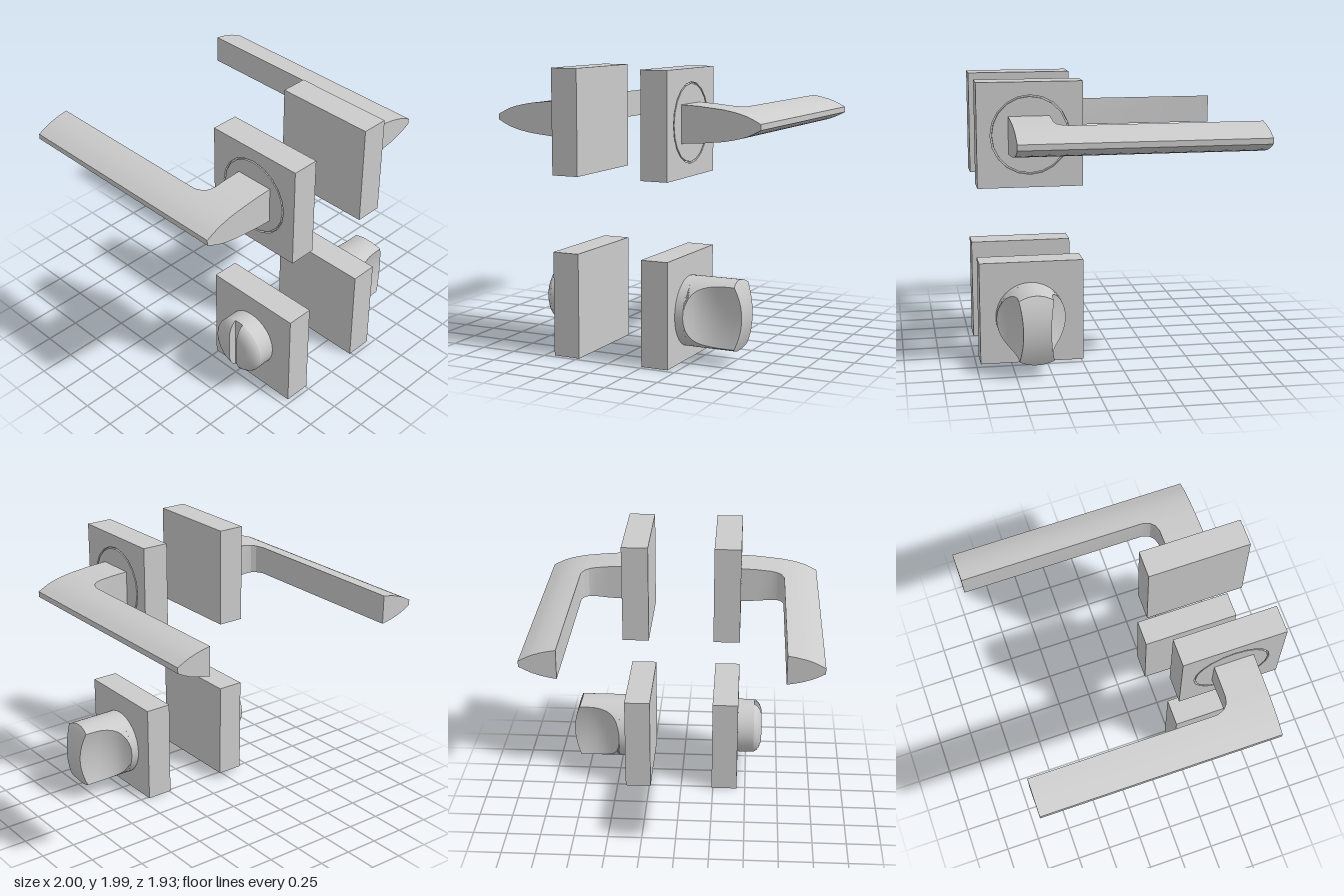
import * as THREE from 'three';
import { toCreasedNormals } from 'three/addons/utils/BufferGeometryUtils.js';

const material = new THREE.MeshStandardMaterial({ color: 0xcccccc });

function part(name, geometry, parent, x = 0, y = 0, z = 0) {
  const mesh = new THREE.Mesh(geometry, material);
  mesh.name = name;
  mesh.position.set(x, y, z);
  parent.add(mesh);
  return mesh;
}

// Skin closed rings that follow each other along +x and close both ends.
// Each ring runs up the +z side and down the -z side.
function loft(rings, crease = 0.55) {
  const pos = [];
  const tri = (a, b, c) => {
    const t = new THREE.Triangle(a, b, c);
    if (t.getArea() > 1e-8) for (const p of [a, b, c]) pos.push(p.x, p.y, p.z);
  };
  const quad = (a, b, c, d) => { tri(a, b, c); tri(a, c, d); };
  const n = rings[0].length;
  for (let j = 0; j < rings.length - 1; j++) {
    for (let i = 0; i < n; i++) {
      const k = (i + 1) % n;
      quad(rings[j][i], rings[j + 1][i], rings[j + 1][k], rings[j][k]);
    }
  }
  const first = rings[0], last = rings[rings.length - 1];
  for (let i = 0; i < n / 2 - 1; i++) {
    quad(last[i], last[n - 1 - i], last[n - 2 - i], last[i + 1]);
    quad(first[i], first[i + 1], first[n - 2 - i], first[n - 1 - i]);
  }
  const geometry = new THREE.BufferGeometry();
  geometry.setAttribute('position', new THREE.Float32BufferAttribute(pos, 3));
  return toCreasedNormals(geometry, crease);
}

const V = (x, y, z) => new THREE.Vector3(x, y, z);
const disc = (r, x0, x1, sides) =>
  new THREE.CylinderGeometry(r, r, x1 - x0, sides).rotateZ(-Math.PI / 2).translate((x0 + x1) / 2, 0, 0);

const INNER = 0.24, OUTER = 0.435, W = 0.735, H = 0.73;

function plainPlate(parent, depth = OUTER - INNER) {
  part('plate', new THREE.BoxGeometry(depth, H, W), parent, INNER + depth / 2);
}

// Lever: an L in plan whose thickness tapers outwards [x, half height, rear z]
function leverGeometry() {
  const stations = [
    [0.43, 0.13, 0.465], [0.55, 0.124, 0.465], [0.655, 0.114, 0.465],
    [0.7, 0.109, 0.452], [0.73, 0.106, 0.425], [0.75, 0.103, 0.37],
    [0.75, 0.103, -0.96], [0.81, 0.092, -0.96], [0.86, 0.08, -0.96],
    [0.91, 0.064, -0.96], [0.95, 0.046, -0.96], [1, 0.02, -0.96],
  ];
  return loft(stations.map(([x, h, z]) =>
    [V(x, -h, 0.75), V(x, h, 0.75), V(x, h, z), V(x, -h, z)]), 0.4);
}

// Square plate with a fine circular groove, carrying the lever
function leverSet() {
  const g = new THREE.Group();
  const plate = new THREE.Group();
  plate.position.z = 0.6;
  g.add(plate);
  const skin = 0.02;
  plainPlate(plate, OUTER - INNER - skin);
  const shape = new THREE.Shape();
  shape.moveTo(-W / 2, -H / 2).lineTo(W / 2, -H / 2).lineTo(W / 2, H / 2).lineTo(-W / 2, H / 2);
  const hole = new THREE.Path();
  hole.absarc(0, 0, 0.275, 0, Math.PI * 2, true);
  shape.holes.push(hole);
  const face = new THREE.ExtrudeGeometry(shape, { depth: skin, bevelEnabled: false, curveSegments: 10 });
  part('plateFace', face.rotateY(Math.PI / 2), plate, OUTER - skin);
  part('rose', disc(0.264, OUTER - skin, OUTER, 20), plate);
  part('lever', leverGeometry(), g);
  return g;
}

// Thumb turn: a round bar scooped on both sides, with a bowed end
function thumbTurnGeometry(r) {
  const stations = [[0.495, 0.242], [0.505, 0.228], [0.52, 0.208], [0.54, 0.186],
    [0.565, 0.166], [0.6, 0.148], [0.64, 0.134], [0.69, 0.124], [0.75, 0.12], [0.8, 0.12], [0.86, 0.12]];
  const rings = stations.map(([x, s], index) => {
    const yc = Math.sqrt(r * r - s * s), corner = Math.atan2(yc, s);
    const right = [];
    const add = (y, z) => right.push(V(index === stations.length - 1 ? 0.86 - y * y : x, y, z));
    const arc = (a, b) => {
      for (let i = 0; i <= 8; i++) {
        const t = a + (b - a) * i / 8;
        add(r * Math.sin(t), Math.max(r * Math.cos(t), 1e-4));
      }
    };
    arc(-Math.PI / 2, -corner);
    for (let i = 1; i < 12; i++) {
      const y = yc * (i / 6 - 1);
      add(y, s - 0.54 * (yc * yc - y * y));
    }
    arc(corner, Math.PI / 2);
    return right.concat(right.map((p) => V(p.x, p.y, -p.z)).reverse());
  });
  return loft(rings);
}

// Half of the rounded release cap, on one side of the coin slot
function capHalfGeometry(slot) {
  const profile = [[0.56, 0.21], [0.575, 0.203], [0.59, 0.189], [0.605, 0.167], [0.62, 0.125]];
  return loft(profile.map(([x, r]) => {
    const t0 = Math.acos(slot / r), ring = [];
    for (let i = 0; i < 20; i++) {
      const t = t0 * (2 * i / 19 - 1);
      ring.push(V(x, r * Math.sin(t), r * Math.cos(t)));
    }
    return ring;
  }), 0.6);
}

export function createModel() {
  const model = new THREE.Group();
  model.name = 'doorHandleSet';

  // Lever handles; the profile is symmetric, so a half turn makes the other side
  for (const side of [1, -1]) {
    const set = leverSet();
    set.name = side > 0 ? 'leftLeverSet' : 'rightLeverSet';
    set.position.y = 1.625;
    if (side < 0) set.rotation.z = Math.PI;
    model.add(set);
  }

  // Bathroom lock, thumb turn side
  const turn = new THREE.Group();
  turn.name = 'thumbTurnSet';
  turn.position.set(0, H / 2, 0.6);
  plainPlate(turn);
  part('thumbTurnBase', disc(0.244, 0.43, 0.495, 32), turn, 0, -0.028, 0.013);
  part('thumbTurn', thumbTurnGeometry(0.244), turn, 0, -0.028, 0.013);
  model.add(turn);

  // Bathroom lock, coin release side
  const release = new THREE.Group();
  release.name = 'coinReleaseSet';
  release.position.set(0, H / 2, 0.6);
  release.rotation.z = Math.PI;
  plainPlate(release);
  part('releaseBase', disc(0.21, 0.43, 0.56, 32), release, 0, -0.005, -0.005);
  for (const angle of [0, Math.PI]) {
    const half = part('releaseCapHalf', capHalfGeometry(0.035), release, 0, -0.005, -0.005);
    half.rotation.x = angle;
  }
  model.add(release);

  return model;
}
